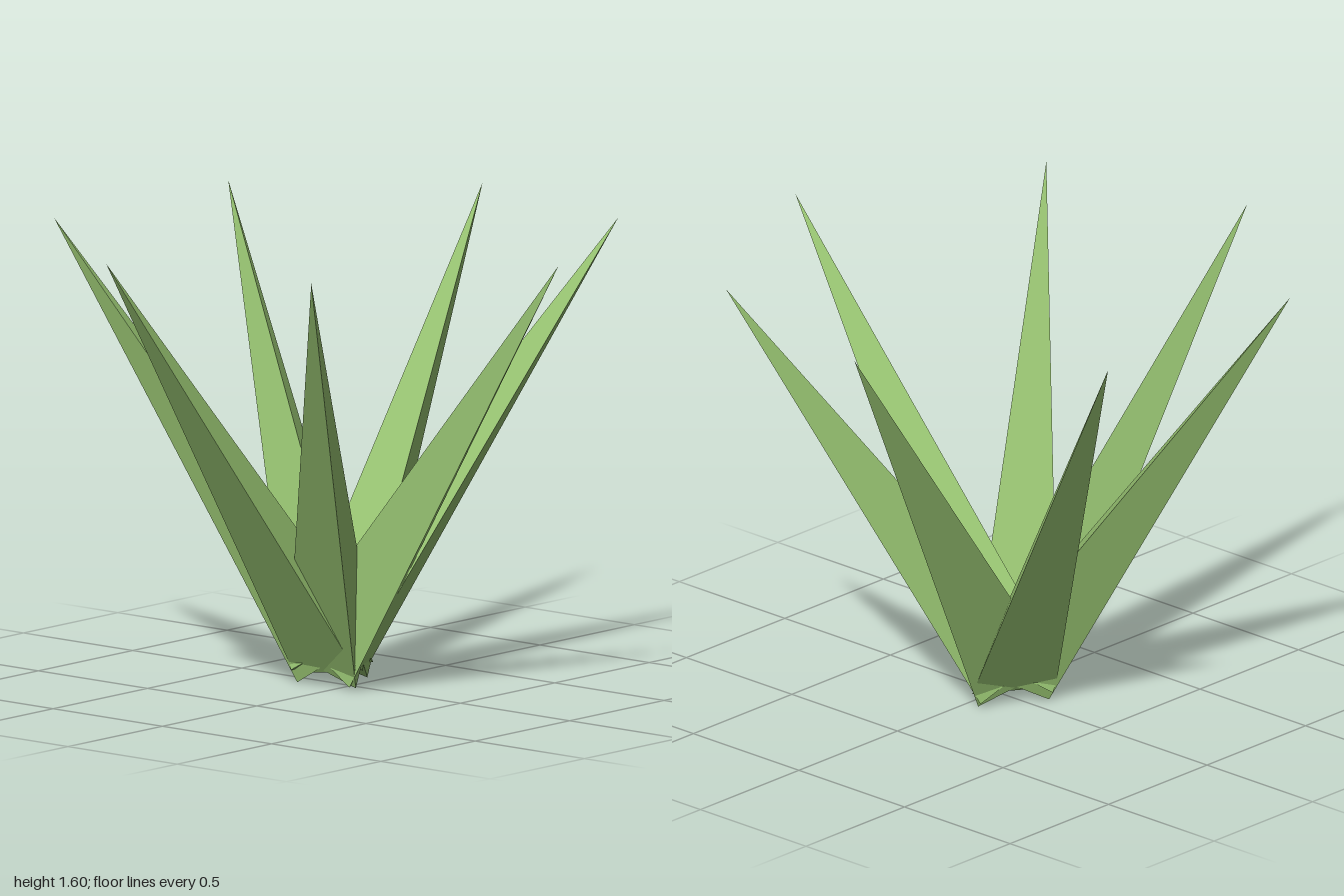
import * as THREE from 'three';

// Spiky plant: seven three-sided leaves fanning out of one root point
export function createModel() {
  const group = new THREE.Group();
  group.name = 'spikyPlant';

  const leafGreen = new THREE.MeshStandardMaterial({ color: 0x98c472, flatShading: true });
  leafGreen.name = 'leafGreen';

  const up = new THREE.Vector3(0, 1, 0);
  const root = new THREE.Vector3(0, 0.095, -0.058);
  const tipHeight = 1.595;
  const radius = 0.175;

  function addLeaf(name, x, z) {
    const axis = new THREE.Vector3(x, tipHeight, z).sub(root);
    const length = axis.length();
    // one corner of the triangular base points to +x before tilting
    const geometry = new THREE.ConeGeometry(radius, length, 3, 1, false, Math.PI / 2);
    geometry.translate(0, length / 2, 0);
    const leaf = new THREE.Mesh(geometry, leafGreen);
    leaf.name = name;
    leaf.position.copy(root);
    leaf.quaternion.setFromUnitVectors(up, axis.normalize());
    group.add(leaf);
  }

  // Single front leaf, then mirrored pairs of leaf tips
  addLeaf('frontLeaf', 0, 0.95);
  const pairs = [['FrontLeaf', 0.813, 0.52], ['SideLeaf', 0.997, -0.26], ['BackLeaf', 0.462, -0.962]];
  for (const [name, x, z] of pairs) {
    addLeaf('left' + name, x, z);
    addLeaf('right' + name, -x, z);
  }
  return group;
}
